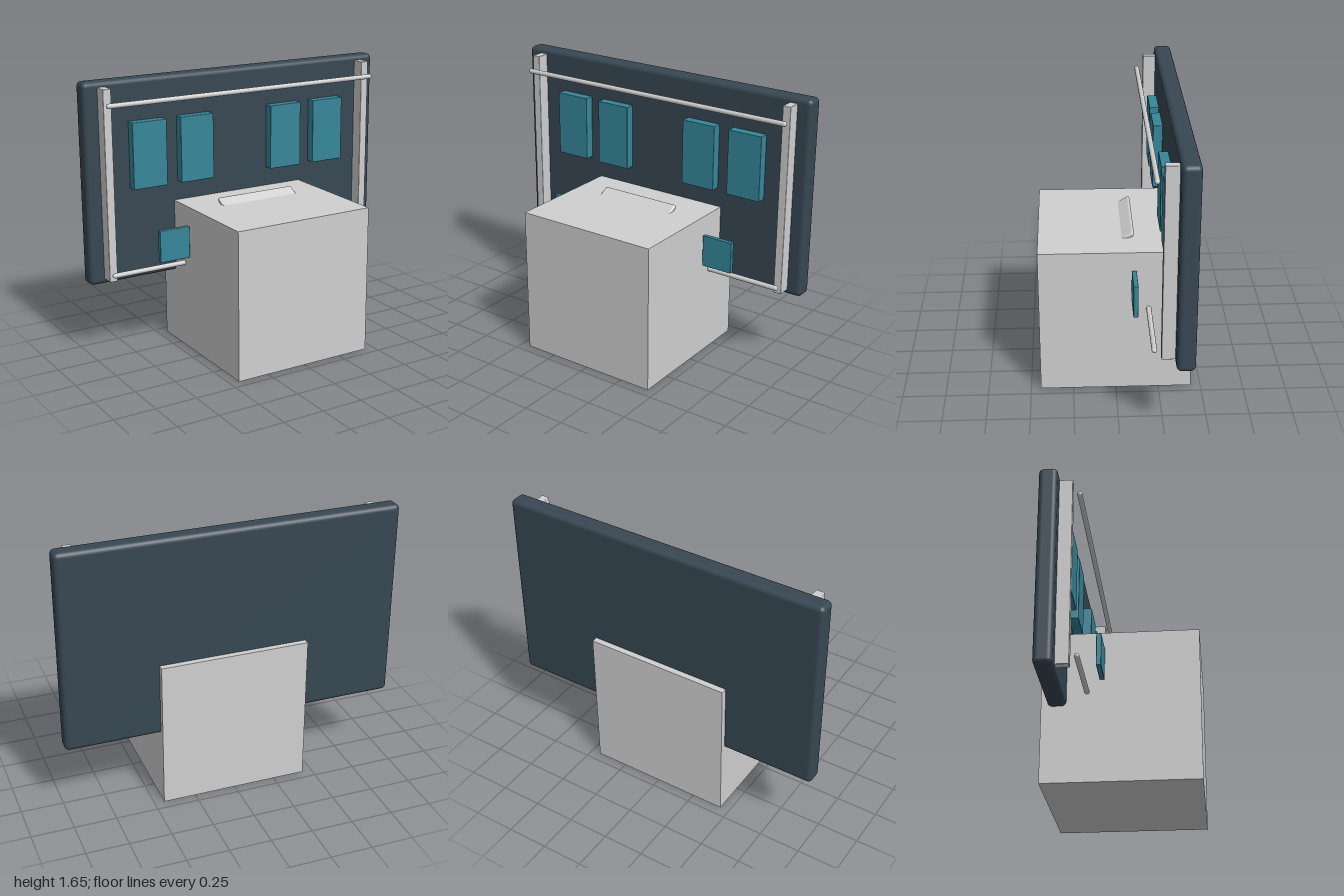
import * as THREE from 'three';
import { RoundedBoxGeometry } from 'three/addons/geometries/RoundedBoxGeometry.js';

const paint = (name, color) => {
  const m = new THREE.MeshStandardMaterial({ color });
  m.name = name;
  return m;
};

export function createModel() {
  const model = new THREE.Group();
  model.name = 'panelOnPlinth';
  const lightGrey = paint('light grey', 0xd0d0d0);
  const slate = paint('dark slate', 0x374752);
  const teal = paint('teal', 0x36879a);

  const add = (name, geometry, material, x, y, z) => {
    const mesh = new THREE.Mesh(geometry, material);
    mesh.name = name;
    mesh.position.set(x, y, z);
    model.add(mesh);
    return mesh;
  };
  const block = (name, size, radius, material, x, y, z) =>
    add(name, new RoundedBoxGeometry(...size, 3, radius), material, x, y, z);

  // Plinth cube and the upright panel set into its back
  add('plinth', new THREE.BoxGeometry(0.885, 0.89, 0.885), lightGrey, 0, 0.445, 0);
  block('backPanel', [2, 1.197, 0.105], 0.028, slate, 0, 1.047, -0.354);

  // Tilted ledge half sunk into the plinth top
  const ledge = block('ledge', [0.51, 0.026, 0.12], 0.01, lightGrey, 0, 0.885, -0.057);
  ledge.rotation.x = 0.53;

  // Horizontal rods in front of the panel
  for (const [name, y] of [['upperRod', 1.525], ['lowerRod', 0.53]]) {
    const rod = add(name, new THREE.CapsuleGeometry(0.015, 1.795, 3, 12), lightGrey, 0, y, -0.188);
    rod.rotation.z = Math.PI / 2;
  }

  // Mirrored rails and teal tiles
  for (const [side, s] of [['left', 1], ['right', -1]]) {
    block(side + 'Rail', [0.05, 1.135, 0.085], 0.004, lightGrey, s * 0.888, 1.047, -0.268);
    block(side + 'InnerTile', [0.218, 0.395, 0.07], 0.003, teal, s * 0.309, 1.203, -0.281);
    block(side + 'OuterTile', [0.218, 0.395, 0.07], 0.003, teal, s * 0.62, 1.203, -0.281);
    block(side + 'SmallTile', [0.193, 0.193, 0.028], 0.004, teal, s * 0.554, 0.688, -0.102);
  }
  return model;
}
